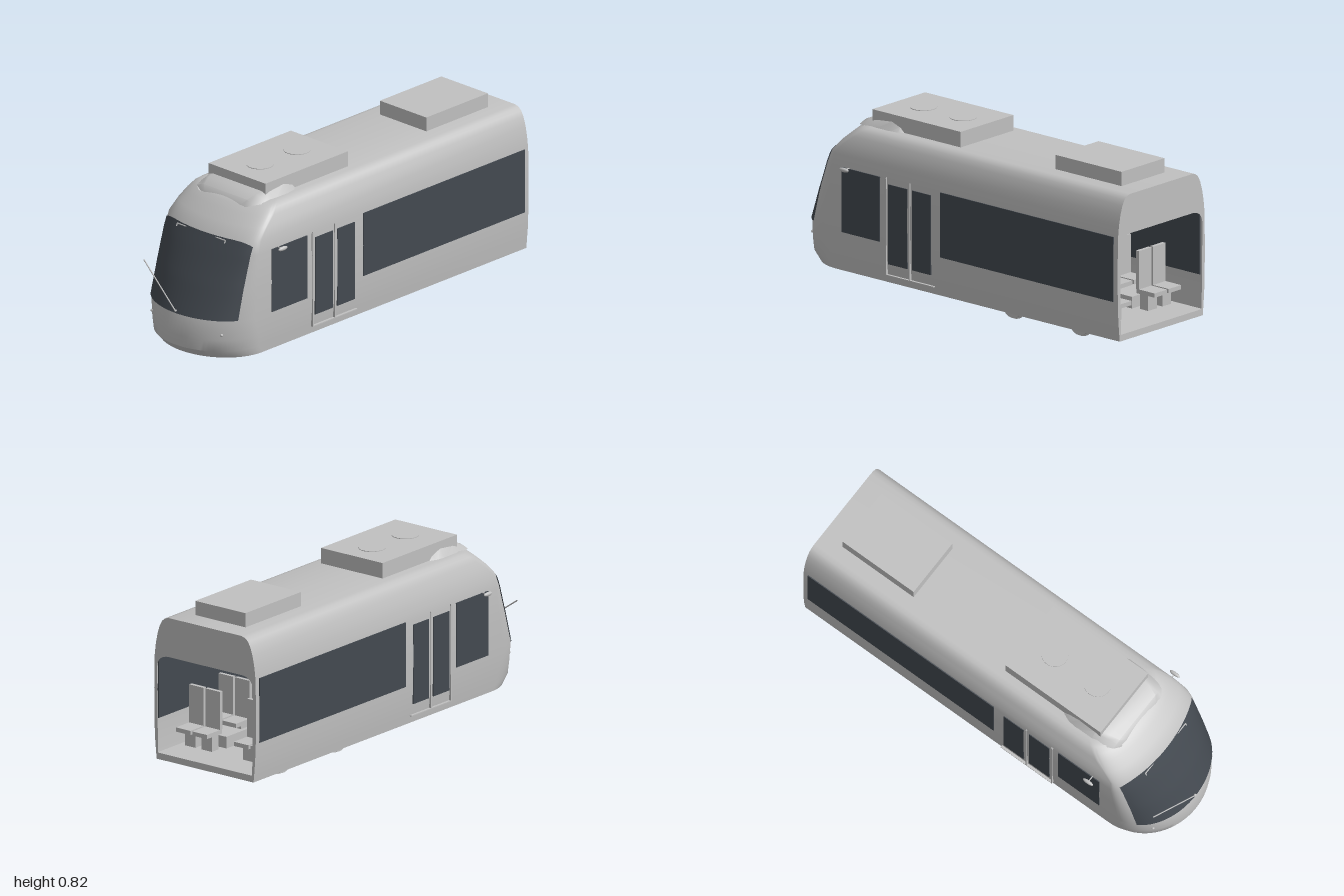
import * as THREE from 'three';
import { toCreasedNormals } from 'three/addons/utils/BufferGeometryUtils.js';

const paint = new THREE.MeshStandardMaterial({ color: 0xc0c0c0, side: THREE.DoubleSide });
paint.name = 'light grey paint';
const glass = new THREE.MeshStandardMaterial({ color: 0x434950, side: THREE.DoubleSide });
glass.name = 'dark glass';

// Body profile rows: height, half width, nose tip z, depth of the rounded nose
const PROFILE = [
  [0.065, 0.28, 0.957, 0.24], [0.105, 0.284, 0.995, 0.25], [0.16, 0.289, 1, 0.25],
  [0.25, 0.293, 0.988, 0.21], [0.4, 0.294, 0.925, 0.17], [0.55, 0.292, 0.852, 0.12],
  [0.61, 0.285, 0.82, 0.1], [0.66, 0.275, 0.772, 0.1], [0.7, 0.262, 0.725, 0.1],
  [0.725, 0.248, 0.695, 0.1], [0.739, 0.232, 0.67, 0.1], [0.745, 0.21, 0.645, 0.1],
];

function profileAt(y) {
  let i = 0;
  while (i < PROFILE.length - 2 && y > PROFILE[i + 1][0]) i++;
  const a = PROFILE[i], b = PROFILE[i + 1], t = (y - a[0]) / (b[0] - a[0]);
  return a.map((v, k) => v + (b[k] - v) * t);
}

// z of the nose surface at a given x and y
function noseZ(x, y) {
  const [, w, f, d] = profileAt(y);
  return f - d + d * Math.sqrt(Math.max(0, 1 - (x / w) ** 2));
}

// Skin a list of equal-length rings of [x, y, z] points
function loft(rings, crease = 0.6) {
  const n = rings[0].length, index = [];
  for (let i = 0; i < rings.length - 1; i++) {
    for (let j = 0; j < n - 1; j++) {
      const a = i * n + j, c = a + n;
      index.push(a, c, a + 1, a + 1, c, c + 1);
    }
  }
  const g = new THREE.BufferGeometry();
  g.setAttribute('position', new THREE.Float32BufferAttribute(rings.flat(2), 3));
  g.setIndex(index);
  g.computeVertexNormals();
  return toCreasedNormals(g, crease);
}

function bodyRing([y, w, f, d]) {
  const pts = [[w, y, -1]];
  for (let i = 0; i <= 40; i++) {
    const t = Math.PI * i / 40;
    pts.push([w * Math.cos(t), y, f - d + d * Math.sin(t)]);
  }
  pts.push([-w, y, -1]);
  return pts;
}

export function createModel() {
  const model = new THREE.Group();
  model.name = 'tram';

  const add = (name, geo, mat = paint, x = 0, y = 0, z = 0, parent = model) => {
    const m = new THREE.Mesh(geo, mat);
    m.name = name;
    m.position.set(x, y, z);
    parent.add(m);
    return m;
  };
  // Box given by its limits on each axis
  const box = (name, x0, x1, y0, y1, z0, z1, mat = paint, parent = model) =>
    add(name, new THREE.BoxGeometry(x1 - x0, y1 - y0, z1 - z0), mat,
      (x0 + x1) / 2, (y0 + y1) / 2, (z0 + z1) / 2, parent);
  const rod = (name, a, b, r) =>
    add(name, new THREE.TubeGeometry(new THREE.LineCurve3(
      new THREE.Vector3(...a), new THREE.Vector3(...b)), 1, r, 8));
  const barX = (name, r, length, x, y, z) =>
    add(name, new THREE.CylinderGeometry(r, r, length, 28).rotateZ(Math.PI / 2), paint, x, y, z);

  // Body shell, closed underneath and on the roof
  const rings = PROFILE.map(bodyRing);
  const flat = (ring) => ring.map(([, y, z]) => [0, y, z]);
  add('bodyShell', loft([flat(rings[0]), ...rings, flat(rings[rings.length - 1])]));

  // Rear wall with its open gangway
  const rear = new THREE.Shape();
  PROFILE.forEach(([y, w], i) => (i ? rear.lineTo(w, y) : rear.moveTo(w, y)));
  [...PROFILE].reverse().forEach(([y, w]) => rear.lineTo(-w, y));
  const gap = new THREE.Path();
  gap.moveTo(-0.272, 0.095);
  gap.lineTo(-0.278, 0.49);
  gap.quadraticCurveTo(-0.278, 0.555, -0.215, 0.56);
  gap.lineTo(0.215, 0.56);
  gap.quadraticCurveTo(0.278, 0.555, 0.278, 0.49);
  gap.lineTo(0.272, 0.095);
  rear.holes.push(gap);
  add('rearWall', new THREE.ShapeGeometry(rear), paint, 0, 0, -1);

  // Windscreen that follows the nose
  const screen = [];
  for (let i = 0; i <= 14; i++) {
    const row = [];
    for (let j = 0; j <= 40; j++) {
      const s = 1 - j / 20, x = 0.27 * s;
      const y = 0.257 + (0.353 - 0.022 * s ** 8) * i / 14;
      row.push([x, y, noseZ(x, y) + 0.006]);
    }
    screen.push(row);
  }
  add('windscreen', loft(screen), glass);

  // Wiper and the trim below the top of the windscreen
  rod('wiper', [-0.245, 0.432, 0.94], [0, 0.268, 0.992], 0.003);
  add('wiperPivot', new THREE.SphereGeometry(0.006, 12, 8), paint, 0, 0.268, 0.99);
  rod('screenTrim', [-0.15, 0.602, 0.822], [0.15, 0.602, 0.822], 0.003);

  for (const s of [-1, 1]) {
    // Painted side windows and door panes
    const pane = (name, y0, y1, z0, z1) =>
      box(name, s * 0.2915 - 0.0045, s * 0.2915 + 0.0045, y0, y1, z0, z1, glass);
    pane('cabWindow', 0.25, 0.555, 0.44, 0.67);
    pane('saloonWindow', 0.25, 0.555, -0.975, 0.075);
    pane('doorPane', 0.155, 0.53, 0.275, 0.388);
    pane('doorPane', 0.155, 0.53, 0.132, 0.243);
    // Door seams and step
    const strip = (name, y0, y1, z0, z1) =>
      box(name, s * 0.291 - 0.006, s * 0.291 + 0.006, y0, y1, z0, z1);
    strip('doorPost', 0.1, 0.56, 0.4, 0.405);
    strip('doorSeam', 0.1, 0.56, 0.257, 0.262);
    strip('doorHandle', 0.45, 0.555, 0.403, 0.409);
    strip('doorStep', 0.1, 0.104, 0.115, 0.405);
    // Mirror
    rod('mirrorArm', [s * 0.285, 0.556, 0.63], [s * 0.325, 0.556, 0.63], 0.003);
    add('mirror', new THREE.SphereGeometry(0.01, 16, 12), paint, s * 0.325, 0.556, 0.63)
      .scale.set(0.9, 1, 2.8);
    add('headlight', new THREE.SphereGeometry(0.007, 14, 10), paint, s * 0.217, 0.187, noseZ(0.217, 0.187));
    rod('trimEnd', [s * 0.15, 0.602, 0.822], [s * 0.15, 0.59, 0.828], 0.003);
  }

  // Roof equipment with fans, and the fairing before it
  box('frontRoofUnit', -0.178, 0.178, 0.74, 0.818, 0.055, 0.59);
  box('rearRoofUnit', -0.145, 0.145, 0.74, 0.812, -0.89, -0.49);
  for (const z of [0.2, 0.44]) {
    add('roofFan', new THREE.CylinderGeometry(0.062, 0.062, 0.006, 32), paint, 0, 0.818, z);
  }
  const fairing = [
    [0.685, 0.15, 0.13, 0.725], [0.665, 0.18, 0.155, 0.75], [0.62, 0.2, 0.168, 0.768], [0.56, 0.21, 0.175, 0.783],
    [0.47, 0.21, 0.177, 0.79], [0.42, 0.205, 0.175, 0.775], [0.375, 0.185, 0.17, 0.74],
  ].map(([z, b, t, h]) => [
    [-b, Math.min(0.735, h), z], [-t, h - 0.006, z], [-t + 0.02, h, z],
    [t - 0.02, h, z], [t, h - 0.006, z], [b, Math.min(0.735, h), z],
  ]);
  add('roofFairing', loft(fairing));

  // Bogie: two axles with wheels and discs, and two motors
  for (const z of [-0.26, -0.665]) {
    barX('axle', 0.012, 0.34, 0, 0.062, z);
    for (const s of [-1, 1]) {
      barX('wheel', 0.058, 0.028, s * 0.17, 0.066, z);
      barX('wheelFlange', 0.066, 0.008, s * 0.162, 0.066, z);
      barX('brakeDisc', 0.036, 0.011, s * 0.107, 0.065, z);
      box('axleBox', s * 0.19 - 0.016, s * 0.19 + 0.016, 0.052, 0.07, z - 0.04, z + 0.04);
    }
  }
  for (const z of [-0.365, -0.56]) {
    barX('motor', 0.02, 0.16, -0.015, 0.06, z);
  }

  // Interior floor and seats
  box('floor', -0.278, 0.278, 0.075, 0.095, -0.999, 0.65);
  const seat = (x, z, facing) => {
    const g = new THREE.Group();
    g.name = 'seat';
    box('seatCushion', -0.042, 0.042, 0.17, 0.19, -0.06, 0.05, paint, g);
    box('seatBack', -0.042, 0.042, 0.19, 0.37, 0.035, 0.053, paint, g);
    box('seatBase', -0.03, 0.03, 0.09, 0.17, -0.01, 0.04, paint, g);
    g.position.set(x, 0, z);
    g.rotation.y = facing < 0 ? 0 : Math.PI;
    model.add(g);
  };
  for (const [z, facing] of [[-0.83, -1], [-0.62, -1], [-0.3, 1], [-0.12, -1]]) {
    for (const x of [-0.215, -0.12, 0.12, 0.215]) seat(x, z, facing);
  }
  for (const s of [-1, 1]) {
    box('wheelHousing', s * 0.17 - 0.1, s * 0.17 + 0.1, 0.09, 0.15, -0.76, -0.18);
  }

  return model;
}
